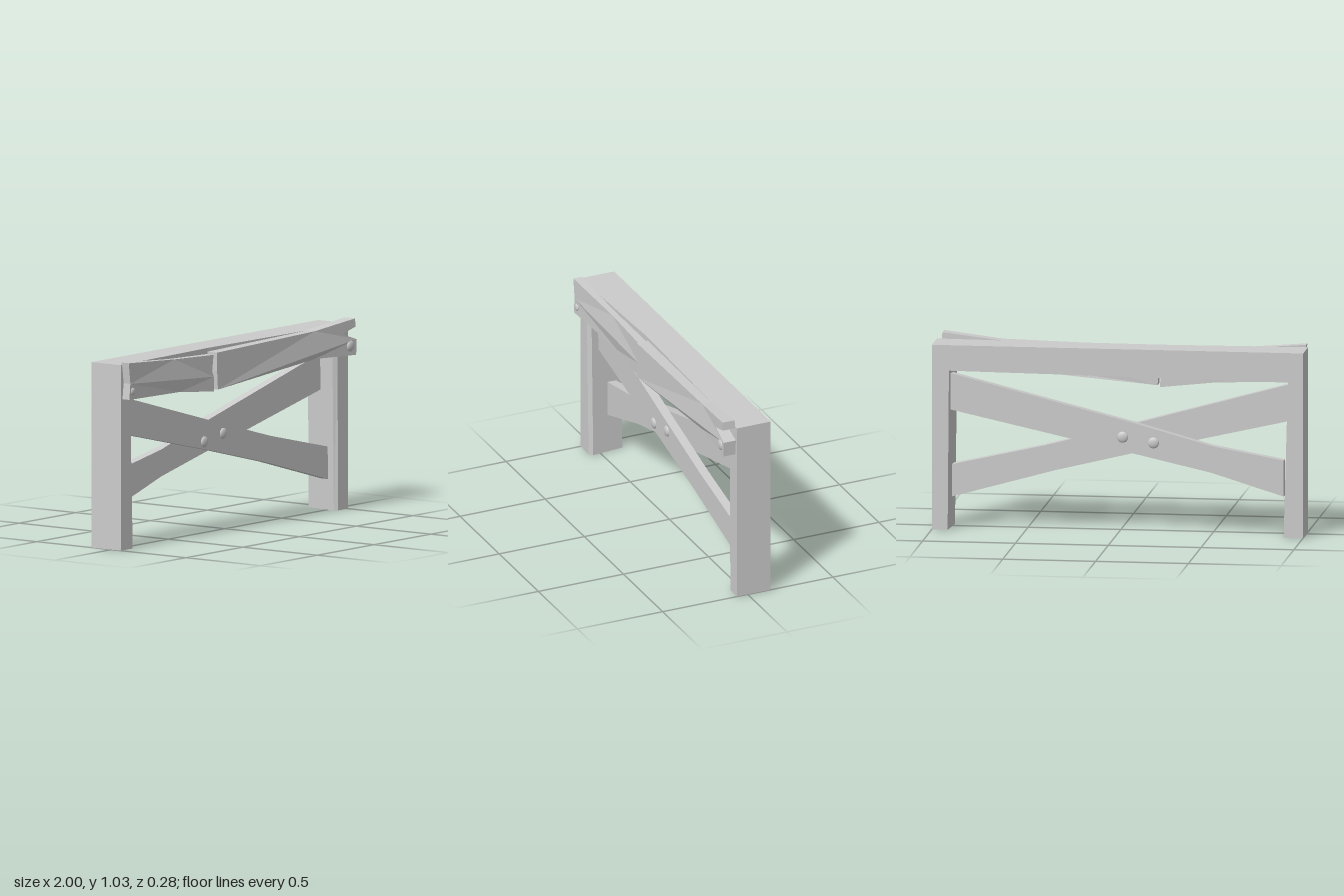
import * as THREE from 'three';

const material = new THREE.MeshStandardMaterial({ color: 0xcccccc, flatShading: true });
const smooth = new THREE.MeshStandardMaterial({ color: 0xcccccc });

function addMesh(group, name, geometry, mat = material) {
  const mesh = new THREE.Mesh(geometry, mat);
  mesh.name = name;
  group.add(mesh);
  return mesh;
}

// Piecewise linear value of y at x for a list of [x, y] points
function lerpAt(points, x) {
  if (x <= points[0][0]) return points[0][1];
  for (let i = 1; i < points.length; i++) {
    const [x0, y0] = points[i - 1], [x1, y1] = points[i];
    if (x <= x1) return y0 + (y1 - y0) * (x - x0) / (x1 - x0);
  }
  return points[points.length - 1][1];
}

// Board cut from an outline, with its front and back bent along x
function board(outline, front, back) {
  const shape = new THREE.Shape(outline.map(([x, y]) => new THREE.Vector2(x, y)));
  const geometry = new THREE.ExtrudeGeometry(shape, { depth: 1, bevelEnabled: false });
  const p = geometry.attributes.position;
  for (let i = 0; i < p.count; i++) {
    p.setZ(i, lerpAt(p.getZ(i) > 0.5 ? front : back, p.getX(i)));
  }
  geometry.computeVertexNormals();
  return geometry;
}

// Arch of two posts and a lintel: five-sided sections swept up, across and down
function archGeometry() {
  // each station: outer x,y / inner x,y / inner ridge x,y / front z
  const stations = [
    [-1, 0, -0.895, 0, -0.875, 0, 0.063],
    [-1, 1, -0.918, 0.84, -0.898, 0.835, 0.063],
    [-0.2, 1, -0.2, 0.85, -0.2, 0.843, 0.035],
    [1, 1, 0.908, 0.862, 0.888, 0.852, 0.063],
    [1, 0, 0.915, 0, 0.9, 0, 0.063],
  ];
  const rings = stations.map(([ox, oy, ix, iy, rx, ry, zf]) => [
    [ox, oy, -0.135], [ox, oy, zf], [ix, iy, zf], [rx, ry, zf - 0.018], [ix, iy, -0.135],
  ]);
  const out = [];
  const tri = (a, b, c) => out.push(...a, ...b, ...c);
  for (let i = 0; i < rings.length - 1; i++) {
    const a = rings[i], b = rings[i + 1];
    for (let j = 0; j < 5; j++) {
      const k = (j + 1) % 5;
      tri(a[j], a[k], b[k]);
      tri(a[j], b[k], b[j]);
    }
  }
  const first = rings[0], last = rings[rings.length - 1];
  for (let k = 1; k < 4; k++) {
    tri(first[0], first[k + 1], first[k]);
    tri(last[0], last[k], last[k + 1]);
  }
  const geometry = new THREE.BufferGeometry();
  geometry.setAttribute('position', new THREE.Float32BufferAttribute(out, 3));
  geometry.computeVertexNormals();
  return geometry;
}

// Shallow domed bolt head
function bolt(group, name, x, y, z, radius) {
  const mesh = addMesh(group, name, new THREE.SphereGeometry(radius, 16, 10), smooth);
  mesh.position.set(x, y, z);
  mesh.scale.z = 0.4;
}

export function createModel() {
  const model = new THREE.Group();
  model.name = 'brokenBarrier';

  addMesh(model, 'postAndBeamFrame', archGeometry());

  // Crossed braces, one in front of the other
  addMesh(model, 'frontBrace', board([
    [-0.905, 0.615], [-0.1, 0.43], [0.35, 0.32], [0.905, 0.165],
    [0.905, 0.34], [0.4, 0.455], [-0.1, 0.59], [-0.905, 0.813],
  ], [[0, 0.005]], [[0, -0.045]]));
  addMesh(model, 'rearBrace', board([
    [-0.89, 0.215], [-0.5, 0.335], [-0.1, 0.425], [0.2, 0.49], [0.905, 0.645],
    [0.905, 0.842], [-0.1, 0.59], [-0.5, 0.48], [-0.89, 0.41],
  ], [[0, -0.045]], [[0, -0.095]]));

  // Snapped front plank in two pieces
  addMesh(model, 'rightPlankPiece', board([
    [-0.985, 0.815], [-0.5, 0.8], [-0.207, 0.77], [-0.208, 0.85], [-0.222, 0.88],
    [-0.21, 0.968], [-0.55, 0.982], [-0.99, 1.013], [-0.975, 0.9],
  ], [[-1, 0.11], [-0.5, 0.077], [-0.2, 0.084]], [[-1, 0.06], [-0.5, 0.045], [-0.2, 0.033]]));
  addMesh(model, 'leftPlankPiece', board([
    [-0.193, 0.78], [0.65, 0.85], [0.98, 0.838], [0.985, 0.922], [0.865, 0.96],
    [0.975, 0.99], [0.97, 1.035], [0.65, 1.0], [-0.2, 0.98], [-0.2, 0.88],
  ], [[-0.2, 0.1], [0.5, 0.102], [0.7, 0.11], [0.97, 0.134]],
  [[-0.2, 0.033], [0.65, 0.05], [0.97, 0.063]]));

  // Bolt heads on the plank ends and through the crossing
  bolt(model, 'rightPlankBolt', -0.952, 0.857, 0.107, 0.02);
  bolt(model, 'leftPlankBolt', 0.937, 0.89, 0.129, 0.03);
  for (const [x, y] of [[-0.188, 0.49], [-0.022, 0.517]]) {
    bolt(model, 'frontBraceBolt', x, y, 0.005, 0.03);
    bolt(model, 'rearBraceBolt', x, y, -0.095, 0.03);
  }
  return model;
}
